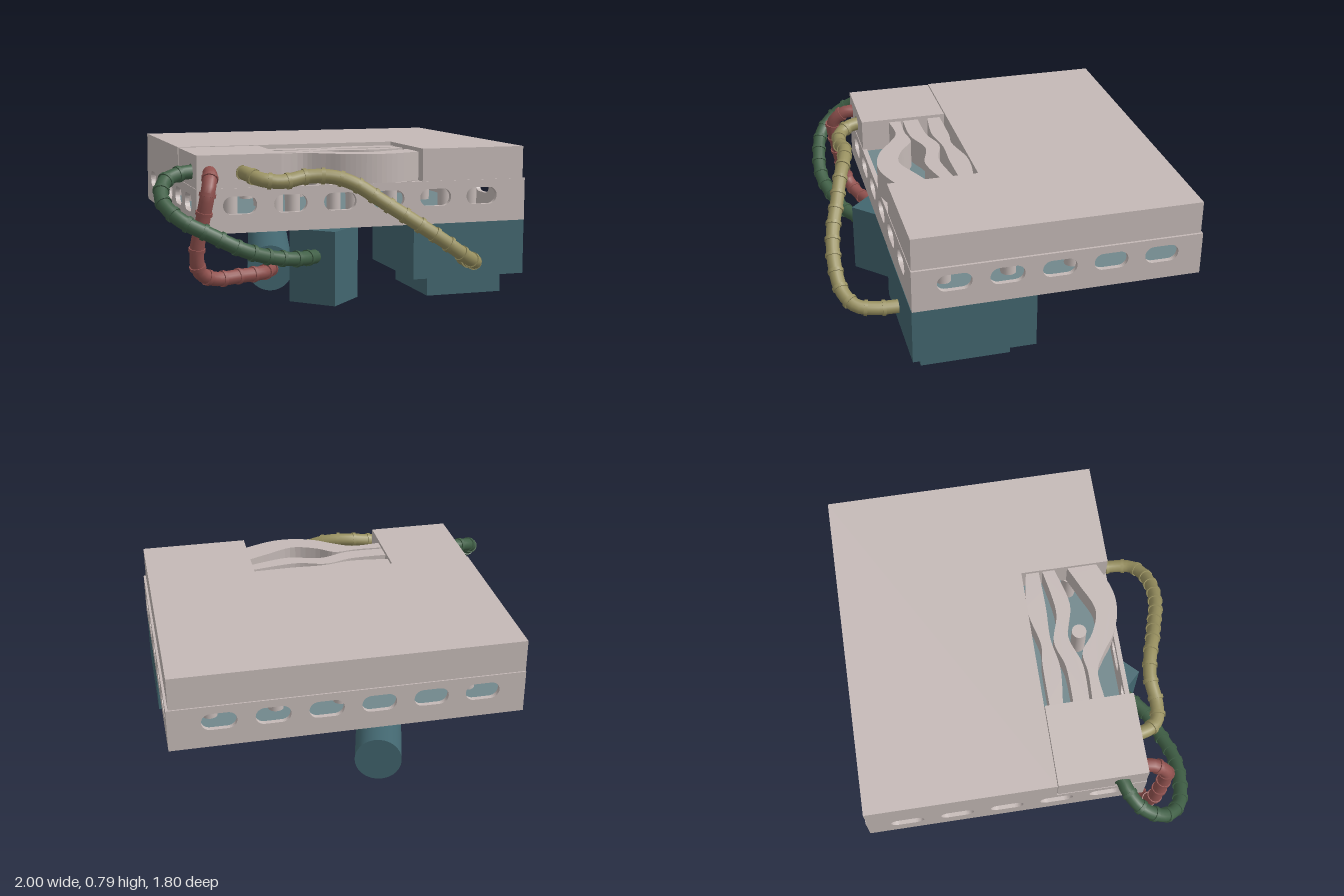
import * as THREE from 'three';

const mat = (name, color, side = THREE.FrontSide) => {
  const m = new THREE.MeshStandardMaterial({ color, side });
  m.name = name;
  return m;
};

export function createModel() {
  const root = new THREE.Group();
  root.name = 'ventedPlatform';
  const shell = mat('warmGrey', 0xc4b9b6);
  const teal = mat('teal', 0x42666f);
  const floorTeal = mat('paleTeal', 0x71878c);
  const yellow = mat('mustard', 0x989060);
  const green = mat('darkGreen', 0x405f46);
  const red = mat('dullRed', 0x91524f);

  const add = (name, geo, material, parent = root) => {
    const m = new THREE.Mesh(geo, material);
    m.name = name;
    parent.add(m);
    return m;
  };
  // Box given by its lower and upper corners
  const box = (name, material, x0, x1, y0, y1, z0, z1) => {
    const m = add(name, new THREE.BoxGeometry(x1 - x0, y1 - y0, z1 - z0), material);
    m.position.set((x0 + x1) / 2, (y0 + y1) / 2, (z0 + z1) / 2);
    return m;
  };

  // Lower frame: four walls pierced by rounded slots
  const X0 = -0.785, X1 = 0.995, Z0 = -0.895, Z1 = 0.575;
  const Y0 = 0.395, Y1 = 0.62, T = 0.025;
  const cx = (X0 + X1) / 2, cz = (Z0 + Z1) / 2;
  const wall = (name, width, slots, shift) => {
    const s = new THREE.Shape();
    s.moveTo(-width / 2, Y0);
    s.lineTo(width / 2, Y0);
    s.lineTo(width / 2, Y1);
    s.lineTo(-width / 2, Y1);
    s.closePath();
    const r = 0.045, half = 0.042, y = 0.534;
    for (let i = 0; i < slots; i++) {
      const c = (i - (slots - 1) / 2) * 0.262 + shift;
      const h = new THREE.Path();
      h.absarc(c + half, y, r, -Math.PI / 2, Math.PI / 2, false);
      h.absarc(c - half, y, r, Math.PI / 2, Math.PI * 1.5, false);
      h.closePath();
      s.holes.push(h);
    }
    return add(name, new THREE.ExtrudeGeometry(s, { depth: T, bevelEnabled: false, curveSegments: 8 }), shell);
  };
  wall('frontWall', X1 - X0, 6, -0.015).position.set(cx, 0, Z1 - T);
  wall('backWall', X1 - X0, 6, -0.015).position.set(cx, 0, Z0);
  for (const [name, x] of [['leftWall', X1 - T], ['rightWall', X0]]) {
    const w = wall(name, Z1 - Z0 - 2 * T, 5, 0);
    w.rotation.y = Math.PI / 2;
    w.position.set(x, 0, cz);
  }
  box('basePlate', shell, X0 + T, X1 - T, Y0, 0.402, Z0 + T, Z1 - T);
  box('innerFloor', floorTeal, X0 + T, X1 - T, 0.402, 0.408, Z0 + T, Z1 - T);

  // Pillars between the floor and the top slab
  for (let i = 0; i < 5; i++) {
    for (let j = 0; j < 4; j++) {
      const p = add('pillar', new THREE.CylinderGeometry(0.04, 0.04, Y1 - 0.406, 20), shell);
      p.position.set(-0.57 + i * 0.334, (Y1 + 0.406) / 2, 0.37 - j * 0.334);
    }
  }

  // Top slab around the open notch
  box('topSlab', shell, -0.785, 0.983, Y1, 0.79, -0.888, 0.1);
  box('slabRightArm', shell, -0.782, -0.35, Y1, 0.787, 0.104, 0.572);
  box('slabLeftArm', shell, 0.41, 0.983, Y1, 0.79, 0.1, 0.572);

  // Wavy slats across the notch, each as [x, z] edges: back edge, front edge
  const slats = [
    [[[-0.35, 0.13], [-0.12, 0.13], [0, 0.14], [0.17, 0.102], [0.3, 0.105], [0.41, 0.125]],
      [[-0.35, 0.2], [-0.15, 0.22], [0.02, 0.195], [0.2, 0.2], [0.41, 0.195]]],
    [[[-0.35, 0.255], [-0.15, 0.25], [0, 0.21], [0.17, 0.25], [0.41, 0.215]],
      [[-0.35, 0.34], [-0.15, 0.34], [0.02, 0.29], [0.2, 0.33], [0.41, 0.28]]],
    [[[-0.35, 0.355], [-0.2, 0.36], [-0.08, 0.35], [0.02, 0.42], [0.15, 0.46], [0.3, 0.4], [0.41, 0.35]],
      [[-0.35, 0.42], [-0.2, 0.41], [-0.1, 0.46], [0, 0.53], [0.12, 0.572], [0.25, 0.57], [0.41, 0.51]]],
  ];
  const curve = (pts) => new THREE.SplineCurve(pts.map(([x, z]) => new THREE.Vector2(x, -z))).getPoints(28);
  for (const [back, front] of slats) {
    const shape = new THREE.Shape([...curve(front), ...curve(back).reverse()]);
    const m = add('wavySlat', new THREE.ExtrudeGeometry(shape, { depth: 0.15, bevelEnabled: false }), shell);
    m.rotation.x = -Math.PI / 2;
    m.position.y = Y1;
  }

  // Units hanging under the platform
  box('steppedUnit', teal, 0.362, 0.993, 0.105, Y0, -0.05, 0.577);
  box('steppedUnitFoot', teal, 0.465, 0.888, 0, 0.105, 0.055, 0.518);
  const turned = add('turnedUnit', new THREE.BoxGeometry(0.262, 0.38, 0.262), teal);
  turned.position.set(-0.105, 0.205, 0.5);
  turned.rotation.y = Math.PI / 4;

  // Straight piece between two points
  const up = new THREE.Vector3(0, 1, 0);
  const rod = (name, a, b, r, sides, material, parent) => {
    const d = b.clone().sub(a);
    const m = add(name, new THREE.CylinderGeometry(r, r, d.length(), sides), material, parent);
    m.position.copy(a).addScaledVector(d, 0.5);
    m.quaternion.setFromUnitVectors(up, d.normalize());
  };
  const V = (x, y, z) => new THREE.Vector3(x, y, z);
  rod('tank', V(-0.355, 0.167, 0.36), V(-0.05, 0.167, -0.85), 0.119, 40, teal, root);

  // Ribbed hoses
  const hose = (name, material, pts) => {
    const g = new THREE.Group();
    g.name = name;
    root.add(g);
    const path = new THREE.CatmullRomCurve3(pts.map((p) => V(...p)));
    const n = Math.round(path.getLength() / 0.09);
    add('hoseTube', new THREE.TubeGeometry(path, n * 3, 0.036, 14), material, g);
    for (let i = 0; i <= n; i++) {
      const p = path.getPointAt(i / n);
      const t = path.getTangentAt(i / n).multiplyScalar(0.009);
      rod('hoseRib', p.clone().sub(t), p.clone().add(t), 0.042, 14, material, g);
    }
  };
  hose('yellowHose', yellow, [
    [-0.545, 0.695, 0.56], [-0.53, 0.69, 0.62], [-0.48, 0.67, 0.68], [-0.38, 0.66, 0.7],
    [-0.25, 0.68, 0.69], [-0.12, 0.675, 0.715], [-0.02, 0.64, 0.75], [0.1, 0.56, 0.79],
    [0.25, 0.46, 0.84], [0.4, 0.36, 0.86], [0.53, 0.27, 0.845], [0.61, 0.225, 0.79],
    [0.635, 0.21, 0.7], [0.64, 0.205, 0.56],
  ]);
  hose('greenHose', green, [
    [-0.77, 0.695, 0.44], [-0.84, 0.69, 0.46], [-0.93, 0.66, 0.52], [-0.965, 0.58, 0.64],
    [-0.9, 0.5, 0.735], [-0.75, 0.42, 0.78], [-0.6, 0.345, 0.785], [-0.45, 0.295, 0.745],
    [-0.3, 0.27, 0.69], [-0.17, 0.26, 0.59],
  ]);
  hose('redHose', red, [
    [-0.715, 0.7, 0.55], [-0.725, 0.69, 0.62], [-0.75, 0.62, 0.685], [-0.775, 0.48, 0.67],
    [-0.8, 0.32, 0.64], [-0.78, 0.215, 0.61], [-0.7, 0.17, 0.57], [-0.55, 0.165, 0.51],
    [-0.42, 0.163, 0.45], [-0.35, 0.162, 0.35],
  ]);
  return root;
}
